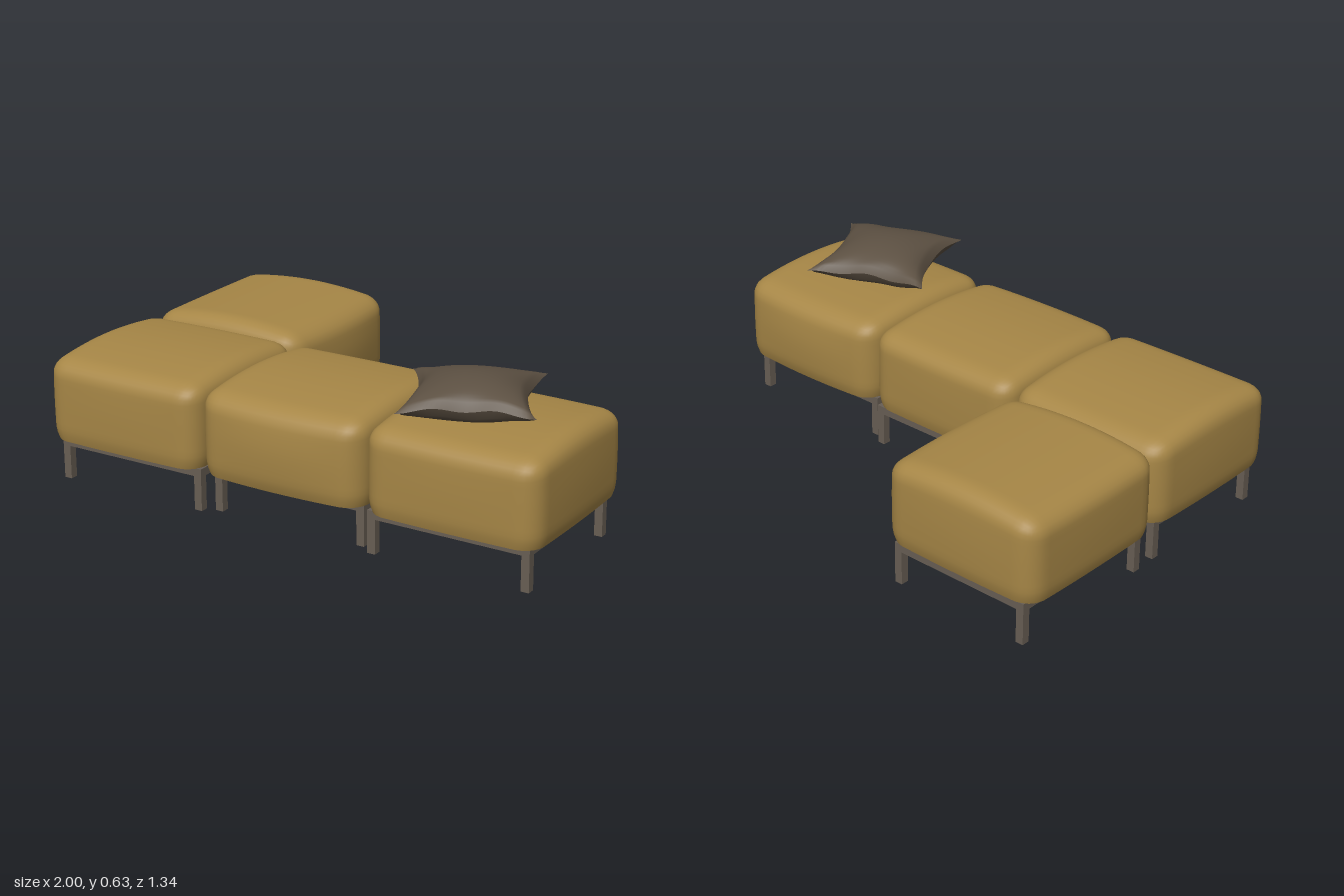
import * as THREE from 'three';
import { mergeVertices, mergeGeometries, toCreasedNormals } from 'three/addons/utils/BufferGeometryUtils.js';

const mat = (name, color) => {
  const m = new THREE.MeshStandardMaterial({ color });
  m.name = name;
  return m;
};

// Box with rounded upright and top edges, softly bulging sides and a crowned top
function cushionGeometry() {
  const hx = 0.32, hy = 0.1625, hz = 0.318, r = 0.07, ry = 0.06;
  let g = new THREE.BoxGeometry(hx * 2, hy * 2, hz * 2, 30, 14, 30);
  g.deleteAttribute('uv');
  g.deleteAttribute('normal');
  g = mergeVertices(g);
  const p = g.attributes.position, d = new THREE.Vector3();
  const over = (v, h, rad) => Math.sign(v) * Math.max(0, Math.abs(v) - (h - rad)) / rad;
  for (let i = 0; i < p.count; i++) {
    let x = p.getX(i), y = p.getY(i), z = p.getZ(i);
    // round the edges
    d.set(over(x, hx, r), y > 0 ? over(y, hy, ry) : 0, over(z, hz, r));
    const big = Math.max(Math.abs(d.x), Math.abs(d.y), Math.abs(d.z));
    if (big > 0) {
      const k = big / d.length() - 1;
      x += d.x * k * r;
      y += d.y * k * ry;
      z += d.z * k * r;
    }
    // bulge the sides, most on the front
    const u = x / hx, v = z / hz, t = (y + hy) / (2 * hy);
    const belly = 0.4 + 0.6 * Math.sin(Math.PI * Math.min(1, 0.1 + t * 0.9));
    x += u * 0.015 * (1 - v * v * 0.8) * belly;
    z += v * (v > 0 ? 0.03 : 0.01) * (1 - u * u) * belly;
    // crown the top from back to front
    if (t > 0.4) y -= 0.03 * v * v * (t - 0.4) / 0.6;
    // tuck in the lower edge
    const tuck = 1 - 0.025 * Math.max(0, 1 - t / 0.1);
    p.setXYZ(i, x * tuck, y, z * tuck);
  }
  g.translate(0, 0.3175, 0);
  return toCreasedNormals(g, 0.8);
}

// Thin-edged pillow with pinched corners and hollow sides
function pillowGeometry() {
  const half = 0.23;
  const sides = [1, -1].map((s) => {
    const g = new THREE.PlaneGeometry(2, 2, 28, 28);
    g.rotateX(-s * Math.PI / 2);
    const p = g.attributes.position;
    for (let i = 0; i < p.count; i++) {
      const x = p.getX(i), z = p.getZ(i);
      const ax = 1 - x * x, az = 1 - z * z;
      const puff = Math.pow(Math.max(0, ax * az), 0.5);
      const edge = Math.max(x * x, z * z) ** 3;
      const ripple = 0.006 * edge * Math.sin(x * 7 + z * 5);
      p.setXYZ(i,
        x * half * (1 - 0.2 * az),
        s * 0.078 * puff + ripple,
        z * half * (1 - 0.2 * ax));
    }
    g.computeVertexNormals();
    return g;
  });
  return mergeGeometries(sides);
}

export function createModel() {
  const model = new THREE.Group();
  model.name = 'modularSofa';
  const fabric = mat('ochre fabric', 0xa68646);
  const metal = mat('brown grey metal', 0x685e54);
  const pillowFabric = mat('dark taupe fabric', 0x5c5042);

  const cushionGeo = cushionGeometry();
  const W = 0.61, D = 0.56, T = 0.03;

  const addBox = (parent, name, w, h, d, x, y, z) => {
    const m = new THREE.Mesh(new THREE.BoxGeometry(w, h, d), metal);
    m.name = name;
    m.position.set(x, y, z);
    parent.add(m);
  };

  // One seat: cushion on a square-tube frame with four legs
  function seatModule(name, x, z, turn, frameX, frameZ) {
    const seat = new THREE.Group();
    seat.name = name;
    seat.position.set(x, 0, z);
    seat.rotation.y = turn;
    const cushion = new THREE.Mesh(cushionGeo, fabric);
    cushion.name = 'cushion';
    seat.add(cushion);

    const frame = new THREE.Group();
    frame.name = 'frame';
    frame.position.set(frameX, 0, frameZ);
    for (const s of [-1, 1]) {
      addBox(frame, 'longRail', W, T, T, 0, 0.141, s * (D - T) / 2);
      addBox(frame, 'sideRail', T, T, D - 2 * T, s * (W - T) / 2, 0.141, 0);
      for (const q of [-1, 1]) {
        addBox(frame, 'leg', T, 0.127, T, s * (W - T) / 2, 0.0635, q * (D - T) / 2);
      }
    }
    seat.add(frame);
    model.add(seat);
  }

  seatModule('rightSeat', -0.663, 0.318, Math.PI, -0.018, -0.002);
  seatModule('middleSeat', 0, 0.313, 0, 0, -0.028);
  seatModule('leftSeat', 0.663, 0.318, Math.PI, 0.018, -0.002);
  seatModule('backSeat', -0.674, -0.335, Math.PI / 2, 0.008, 0);

  // Loose pillow lying on the left seat
  const pillow = new THREE.Mesh(pillowGeometry(), pillowFabric);
  pillow.name = 'pillow';
  pillow.position.set(0.607, 0.548, 0.372);
  pillow.rotation.set(-0.03, THREE.MathUtils.degToRad(23), 0.02);
  model.add(pillow);

  return model;
}
